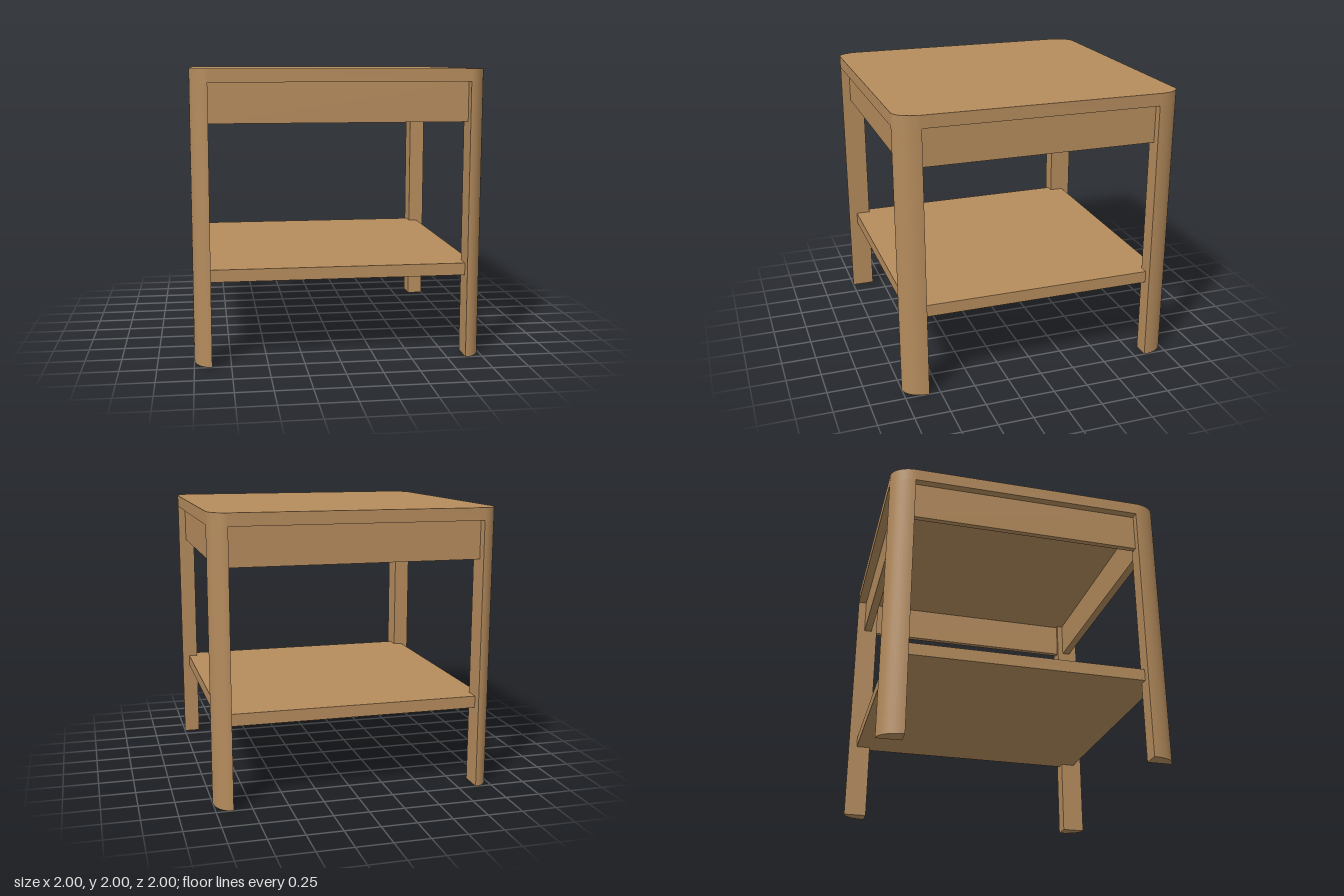
import * as THREE from 'three';
import { toCreasedNormals } from 'three/addons/utils/BufferGeometryUtils.js';

const RX = 0.12, RZ = 0.17;          // corner radii, also the leg section
const IX = 1 - RX, IZ = 1 - RZ;      // inner corner of each leg
const TOP_Y = 1.912, APRON_Y = 1.64;
const EDGE_X = 0.945, EDGE_Z = 0.935; // outer faces of aprons and shelf

// Extrude a plan outline upwards from y0 to y1
function slab(shape, y0, y1) {
  const geo = new THREE.ExtrudeGeometry(shape, { depth: y1 - y0, bevelEnabled: false, curveSegments: 16 });
  geo.rotateX(-Math.PI / 2).translate(0, y0, 0);
  return toCreasedNormals(geo, 0.5);
}

// Rounded plan of the table top
function topShape() {
  const s = new THREE.Shape();
  s.moveTo(IX, -1);
  s.absellipse(IX, -IZ, RX, RZ, -Math.PI / 2, 0);
  s.absellipse(IX, IZ, RX, RZ, 0, Math.PI / 2);
  s.absellipse(-IX, IZ, RX, RZ, Math.PI / 2, Math.PI);
  s.absellipse(-IX, -IZ, RX, RZ, Math.PI, Math.PI * 1.5);
  s.closePath();
  return s;
}

// Quarter-ellipse leg section in the corner given by the signs
function legShape(sx, sz) {
  const pts = [new THREE.Vector2(sx * IX, sz * IZ)];
  for (let i = 0; i <= 16; i++) {
    const a = (i / 16) * Math.PI / 2;
    pts.push(new THREE.Vector2(sx * (IX + RX * Math.cos(a)), sz * (IZ + RZ * Math.sin(a))));
  }
  return new THREE.Shape(pts);
}

// Shelf plan with its corners notched around the legs
function shelfShape() {
  return new THREE.Shape([
    [-IX, -EDGE_Z], [IX, -EDGE_Z], [IX, -IZ], [EDGE_X, -IZ],
    [EDGE_X, IZ], [IX, IZ], [IX, EDGE_Z], [-IX, EDGE_Z],
    [-IX, IZ], [-EDGE_X, IZ], [-EDGE_X, -IZ], [-IX, -IZ],
  ].map(([x, y]) => new THREE.Vector2(x, y)));
}

export function createModel() {
  const table = new THREE.Group();
  table.name = 'sideTable';
  const wood = new THREE.MeshStandardMaterial({ color: 0xb58c5d });
  wood.name = 'wood';

  const add = (name, geo) => {
    const mesh = new THREE.Mesh(geo, wood);
    mesh.name = name;
    table.add(mesh);
    return mesh;
  };

  add('tableTop', slab(topShape(), TOP_Y, 2));
  add('shelf', slab(shelfShape(), 0.572, 0.657));

  // Legs, flush with the rounded corners of the top
  for (const sx of [-1, 1]) for (const sz of [-1, 1]) {
    add((sz > 0 ? 'front' : 'back') + (sx > 0 ? 'Left' : 'Right') + 'Leg', slab(legShape(sx, sz), 0, TOP_Y));
  }

  // Aprons between the legs, set back from the edge
  const h = TOP_Y - APRON_Y, y = (TOP_Y + APRON_Y) / 2, tx = 0.04, tz = 0.06;
  for (const s of [-1, 1]) {
    add(s > 0 ? 'frontApron' : 'backApron', new THREE.BoxGeometry(2 * IX, h, tz))
      .position.set(0, y, s * (EDGE_Z - tz / 2));
    add(s > 0 ? 'leftApron' : 'rightApron', new THREE.BoxGeometry(tx, h, 2 * IZ))
      .position.set(s * (EDGE_X - tx / 2), y, 0);
  }
  return table;
}
